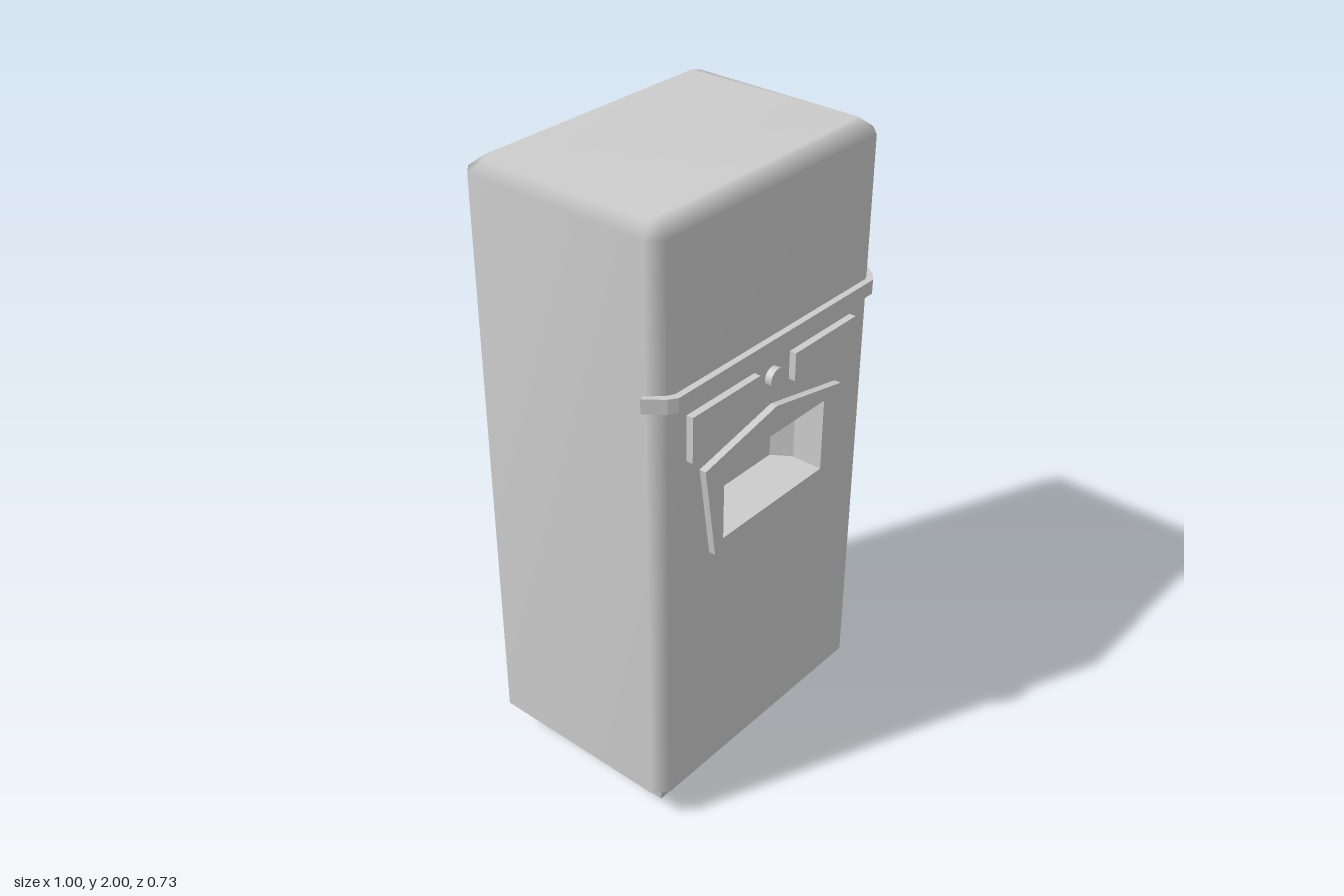
import * as THREE from 'three';
import { mergeGeometries, mergeVertices } from 'three/addons/utils/BufferGeometryUtils.js';

const FRONT = 0.33, BACK = -0.365, BASE = 0.115;
const material = new THREE.MeshStandardMaterial({ color: 0xcccccc });

function addMesh(parent, name, geometry, mat = material) {
  const mesh = new THREE.Mesh(geometry, mat);
  mesh.name = name;
  parent.add(mesh);
  return mesh;
}

const shapeOf = (pts) => new THREE.Shape(pts.map(([x, y]) => new THREE.Vector2(x, y)));

const slab = (shape, depth) => new THREE.ExtrudeGeometry(shape, { depth, bevelEnabled: false });

// Skin between rings of points, closed by a cap on the last ring
function loft(rings, skip = () => false) {
  const n = rings[0].length, index = [];
  for (let r = 0; r < rings.length - 1; r++) {
    for (let i = 0; i < n; i++) {
      if (skip(r, i)) continue;
      const a = r * n + i, c = r * n + (i + 1) % n;
      index.push(a, a + n, c, a + n, c + n, c);
    }
  }
  const last = (rings.length - 1) * n;
  for (let i = 1; i < n - 1; i++) index.push(last, last + i + 1, last + i);
  const g = new THREE.BufferGeometry();
  g.setAttribute('position', new THREE.Float32BufferAttribute(rings.flat(2), 3));
  g.setIndex(index);
  return g;
}

// Chamfered rectangle at height y, inset from the cabinet sides
function cabinetRing(y, inset, c) {
  const x = 0.48 - inset, f = FRONT - inset, b = BACK + inset;
  return [[x, f - c], [x - c, f], [c - x, f], [-x, f - c],
    [-x, b + c], [c - x, b], [x - c, b], [x, b + c]].map(([px, pz]) => [px, y, pz]);
}

// Opening outline for the dispenser, clockwise from the front
const openingRing = (w, top, z) => [[-w, 0.97, z], [-w, top, z], [w, top, z], [w, 0.97, z]];

const openingHole = () => new THREE.Path(
  openingRing(0.23, 1.21, 0).map(([x, y]) => new THREE.Vector2(x, y)));

export function createModel() {
  const model = new THREE.Group();
  model.name = 'refrigerator';

  // Cabinet: chamfered shell with an opening cut in the front
  const base = cabinetRing(BASE, 0, 0.04);
  const shell = loft([base, cabinetRing(1.965, 0, 0.04), cabinetRing(2, 0.042, 0.02)],
    (r, i) => r === 0 && i === 1);
  const frontShape = shapeOf([[-0.44, BASE], [0.44, BASE], [0.44, 1.965], [-0.44, 1.965]]);
  frontShape.holes.push(openingHole());
  const front = new THREE.ShapeGeometry(frontShape).translate(0, 0, FRONT);
  front.deleteAttribute('normal');
  front.deleteAttribute('uv');
  const cabinet = mergeVertices(mergeGeometries([shell, front]), 1e-3);
  cabinet.computeVertexNormals();
  addMesh(model, 'cabinet', cabinet);

  // Flat underside
  const under = new THREE.ShapeGeometry(shapeOf(base.map(([x, , z]) => [x, z])));
  addMesh(model, 'underside', under.rotateX(Math.PI / 2).translate(0, BASE, 0));

  // Dispenser recess, narrowing towards its back wall
  const recess = loft([openingRing(0.23, 1.21, FRONT), openingRing(0.23, 1.21, 0.25),
    openingRing(0.19, 1.185, 0.19)]).toNonIndexed();
  recess.computeVertexNormals();
  addMesh(model, 'dispenserRecess', recess);

  // Five-sided frame round the recess
  const frame = shapeOf([[-0.265, 0.93], [0.265, 0.93], [0.31, 1.235], [0, 1.3], [-0.31, 1.235]]);
  frame.holes.push(openingHole());
  addMesh(model, 'dispenserFrame', slab(frame, 0.022)).position.z = FRONT;

  // Slanted panels either side of a round button
  for (const [side, name] of [[1, 'leftPanel'], [-1, 'rightPanel']]) {
    const panel = shapeOf([[0.08, 1.345], [0.365, 1.29], [0.365, 1.435], [0.08, 1.435]]
      .map(([x, y]) => [side * x, y]));
    addMesh(model, name, slab(panel, 0.022)).position.z = FRONT;
  }
  const button = new THREE.CylinderGeometry(0.031, 0.031, 0.022, 32).rotateX(Math.PI / 2);
  addMesh(model, 'button', button).position.set(0, 1.39, FRONT + 0.011);

  // Trim band wrapping the front corners
  const outer = [[0.5, 0.29], [0.455, 0.343], [0.43, 0.36]];
  const inner = [[0.42, 0.34], [0.44, 0.33], [0.48, 0.283]];
  const half = [...outer, ...inner];
  const mirror = (pts) => pts.map(([x, z]) => [-x, z]).reverse();
  const band = shapeOf([...half.slice(0, 3), ...mirror(outer), ...mirror(inner), ...inner]);
  addMesh(model, 'trimBand', slab(band, 0.045).rotateX(Math.PI / 2)).position.y = 1.53;

  // Four tapered square feet
  const foot = new THREE.CylinderGeometry(0.048 * Math.SQRT2, 0.03 * Math.SQRT2, 0.12, 4)
    .rotateY(Math.PI / 4).toNonIndexed();
  foot.computeVertexNormals();
  for (const x of [-0.365, 0.365]) {
    for (const z of [0.225, -0.235]) {
      const name = (z > 0 ? 'front' : 'back') + (x > 0 ? 'Left' : 'Right') + 'Foot';
      addMesh(model, name, foot).position.set(x, 0.06, z);
    }
  }
  return model;
}
